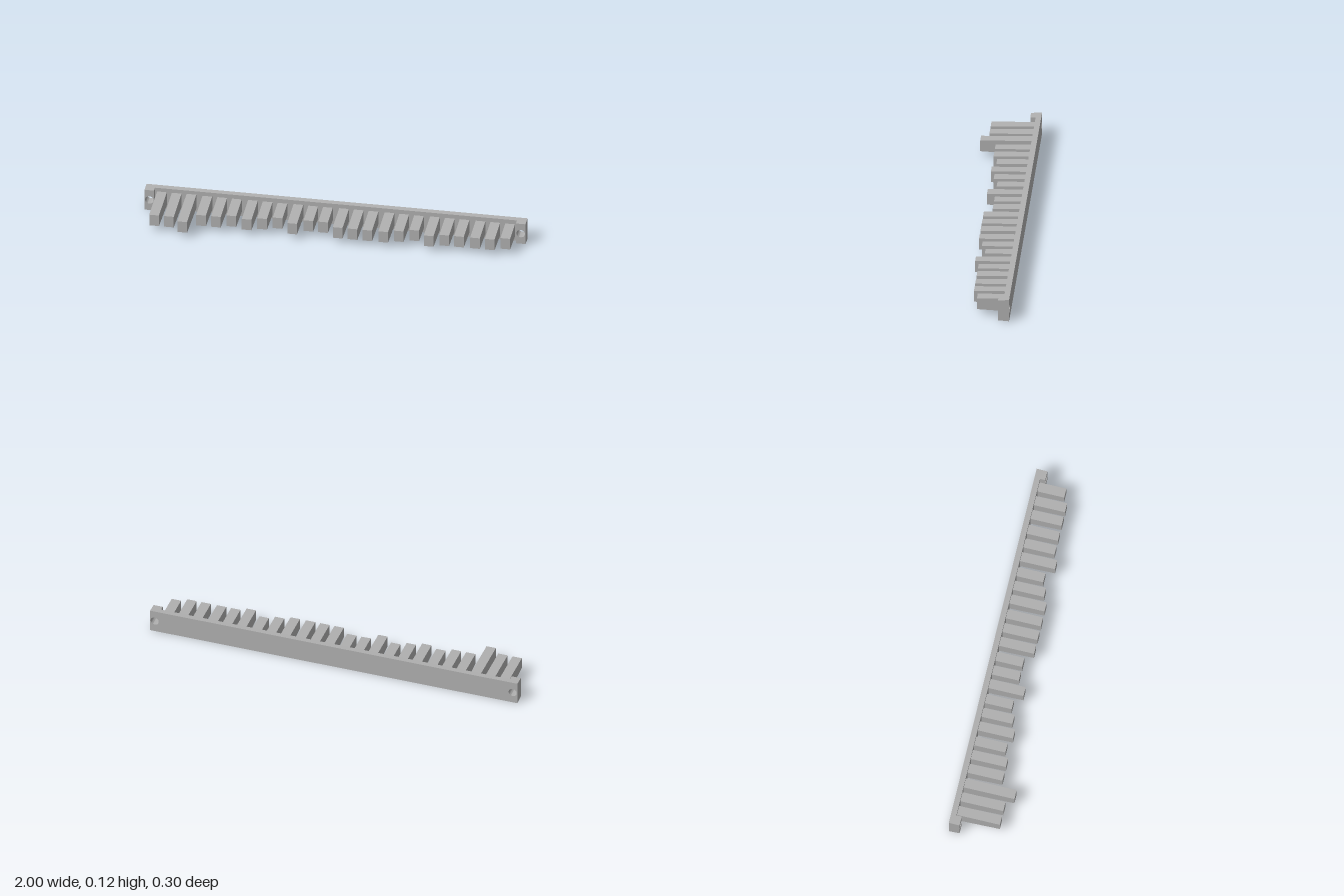
import * as THREE from 'three';
import { toCreasedNormals } from 'three/addons/utils/BufferGeometryUtils.js';

const BACK = -0.149, BAR_FRONT = -0.12, END_FRONT = -0.092;
const MID_Y = 0.063;

// Narrow a geometry towards the front: outer top and bottom faces lean in with z.
function draft(geometry, slope, zRef) {
  const p = geometry.attributes.position;
  for (let i = 0; i < p.count; i++) {
    const dy = p.getY(i) - MID_Y;
    if (Math.abs(dy) > 0.028) p.setY(i, p.getY(i) - Math.sign(dy) * slope * (p.getZ(i) - zRef));
  }
  geometry.computeVertexNormals();
  return geometry;
}

// Box between two z values, centred on MID_Y.
function slab(width, height, z0, z1) {
  return new THREE.BoxGeometry(width, height, z1 - z0).translate(0, MID_Y, (z0 + z1) / 2);
}

export function createModel() {
  const group = new THREE.Group();
  const grey = new THREE.MeshStandardMaterial({ color: 0xb0b0b0 });
  grey.name = 'plain grey';

  const add = (geometry, name, x) => {
    const mesh = new THREE.Mesh(geometry, grey);
    mesh.name = name;
    mesh.position.x = x;
    group.add(mesh);
  };

  // Long back bar between the two mounting blocks
  add(draft(slab(1.9, 0.125, BACK, BAR_FRONT), 0.06, BACK), 'backBar', 0);

  // Thicker mounting blocks with a screw hole right through
  for (const side of [-1, 1]) {
    const shape = new THREE.Shape();
    shape.moveTo(-0.025, MID_Y - 0.0625);
    shape.lineTo(0.025, MID_Y - 0.0625);
    shape.lineTo(0.025, MID_Y + 0.0625);
    shape.lineTo(-0.025, MID_Y + 0.0625);
    shape.closePath();
    const hole = new THREE.Path();
    hole.absarc(0, MID_Y + 0.001, 0.022, 0, Math.PI * 2, true);
    shape.holes.push(hole);
    const block = new THREE.ExtrudeGeometry(shape, {
      depth: END_FRONT - BACK, bevelEnabled: false, curveSegments: 24,
    }).translate(0, 0, BACK);
    add(toCreasedNormals(draft(block, 0.06, BACK), 0.6), side > 0 ? 'leftMount' : 'rightMount', side * 0.975);
  }

  // Teeth in eight groups of three; each digit picks one of the tooth lengths
  const tips = [0.023, 0.045, 0.066, 0.108, 0.149];
  const code = '334221210200222210211110';
  [...code].forEach((digit, i) => {
    const tip = tips[Number(digit)];
    const x = -0.914 + 0.239 * Math.floor(i / 3) + 0.0775 * (i % 3);
    const tooth = draft(slab(0.051, 0.063, BAR_FRONT - 0.004, tip), 0.036, tip);
    add(tooth, `tooth${i + 1}`, x);
  });

  return group;
}
